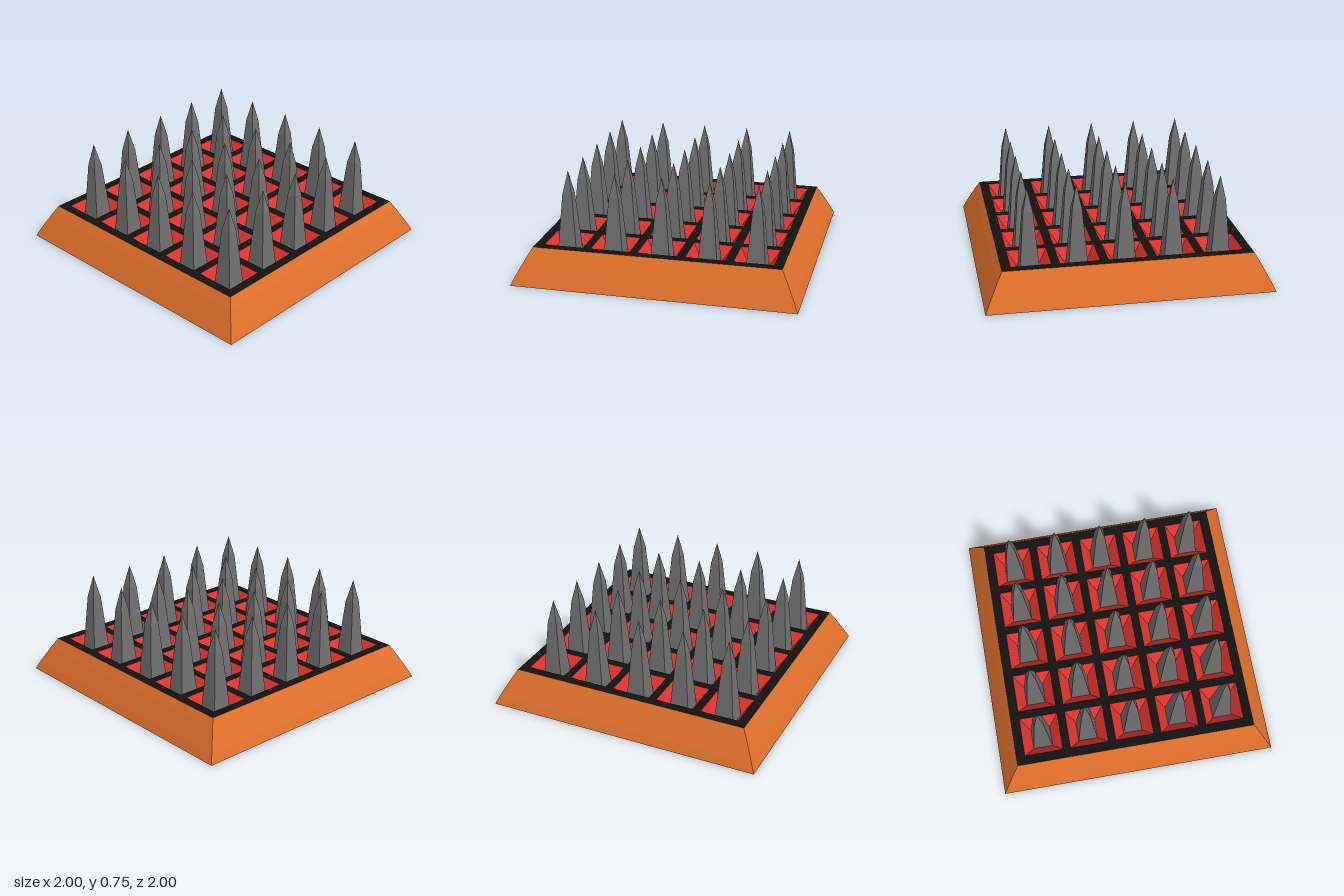
import * as THREE from 'three';

const mat = (color) => new THREE.MeshStandardMaterial({ color, flatShading: true });

// Square loft through [half width, height] rings; rising rings face out, falling rings face in
function squareLoft(rings) {
  const points = rings.map(([half, y]) => new THREE.Vector2(half * Math.SQRT2, y));
  return new THREE.LatheGeometry(points, 4, Math.PI / 4);
}

function square(path, cx, cy, half) {
  path.moveTo(cx - half, cy - half);
  path.lineTo(cx + half, cy - half);
  path.lineTo(cx + half, cy + half);
  path.lineTo(cx - half, cy + half);
  path.closePath();
  return path;
}

export function createModel() {
  const model = new THREE.Group();
  const orange = mat(0xe0702c), black = mat(0x121212), red = mat(0xe0332c), grey = mat(0x707070);
  const TOP = 0.25, FLOOR = 0.15, EDGE = 0.87, PITCH = 0.334, PIT = 0.139;

  const add = (parent, name, geometry, material) => {
    const mesh = new THREE.Mesh(geometry, material);
    mesh.name = name;
    parent.add(mesh);
    return mesh;
  };

  // Sloping, slightly bulged border
  add(model, 'border', squareLoft([[1, 0], [0.972, 0.06], [0.941, 0.12], [0.907, 0.185], [EDGE, TOP]]), orange);

  // Underside
  add(model, 'underside', new THREE.PlaneGeometry(2, 2).rotateX(Math.PI / 2), black);

  // Grate, pits and spikes on a five by five grid
  const grate = square(new THREE.Shape(), 0, 0, EDGE);
  const pitGeometry = squareLoft([[PIT, TOP], [0.07, FLOOR]]);
  const floorGeometry = new THREE.PlaneGeometry(0.14, 0.14).rotateX(-Math.PI / 2).translate(0, FLOOR, 0);
  const spikeGeometry = squareLoft([[0.07, FLOOR], [0.034, 0.59], [0, 0.755]]);
  for (let i = -2; i <= 2; i++) {
    for (let j = -2; j <= 2; j++) {
      const cell = new THREE.Group();
      cell.name = 'spikeCell';
      cell.position.set(i * PITCH, 0, j * PITCH);
      add(cell, 'pitWalls', pitGeometry, red);
      add(cell, 'pitFloor', floorGeometry, black);
      add(cell, 'spike', spikeGeometry, grey);
      model.add(cell);
      grate.holes.push(square(new THREE.Path(), i * PITCH, j * PITCH, PIT));
    }
  }
  add(model, 'grate', new THREE.ShapeGeometry(grate).rotateX(-Math.PI / 2).translate(0, TOP, 0), black);

  return model;
}
